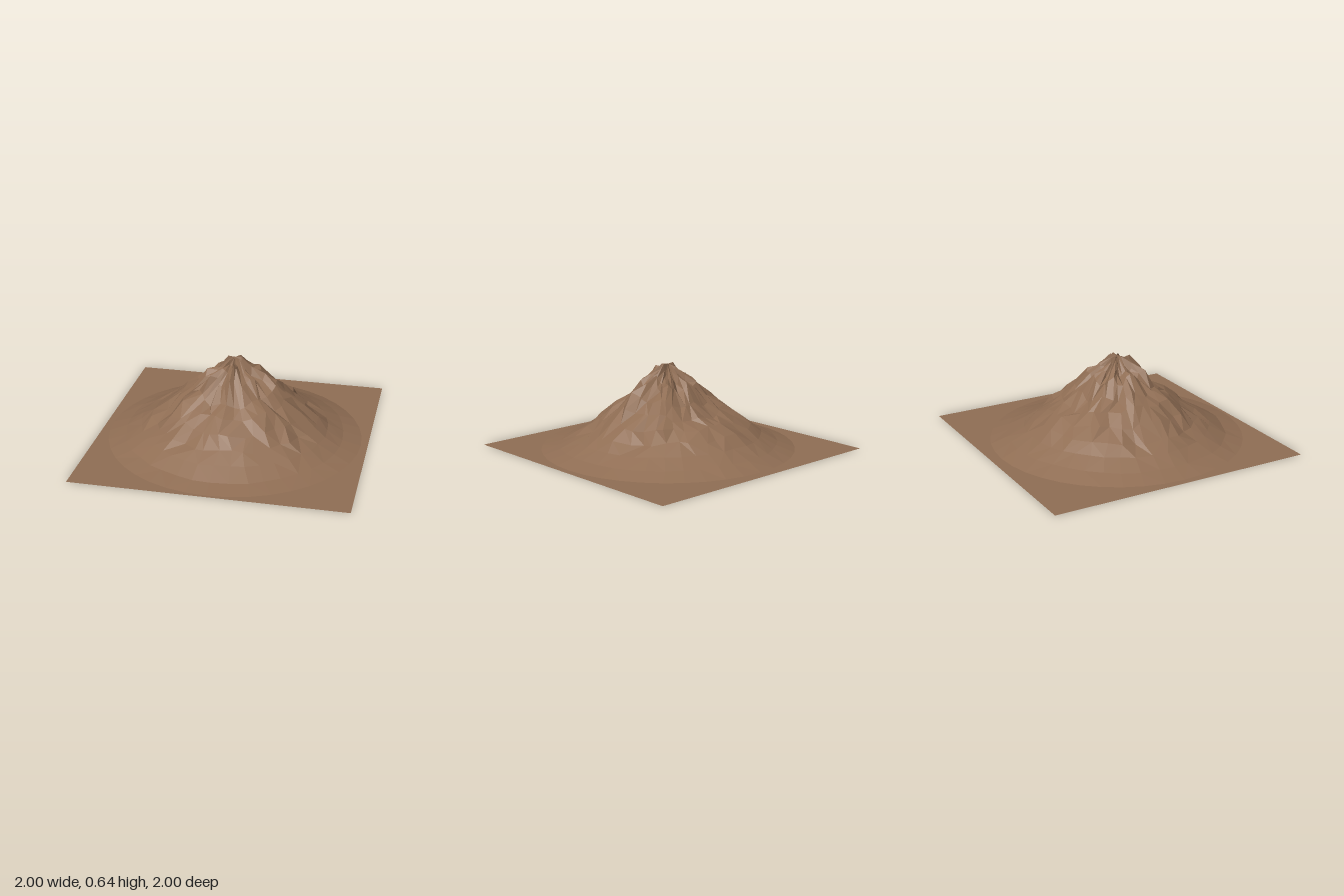
import * as THREE from 'three';

const SEGMENTS = 40;
const PEAK_Z = 0.03;
const RADII = [0.05, 0.12, 0.2, 0.3, 0.4, 0.5, 0.6, 0.7, 0.82, 0.95];
// Slope heights at those radii, towards +x, +z, -x and -z
const SLOPES = [
  [0.65, 0.57, 0.53, 0.46, 0.37, 0.26, 0.17, 0.1, 0.04, 0],
  [0.64, 0.62, 0.54, 0.39, 0.34, 0.25, 0.17, 0.1, 0.03, 0],
  [0.65, 0.56, 0.54, 0.44, 0.38, 0.28, 0.18, 0.11, 0.045, 0],
  [0.62, 0.57, 0.52, 0.4, 0.31, 0.265, 0.2, 0.12, 0.055, 0],
];

// Small seeded hash giving 0..1
function hash(i, j) {
  const s = Math.sin(i * 127.1 + j * 311.7 + 4.3) * 43758.5453;
  return s - Math.floor(s);
}

// A point of the mountainside: blended slope, cut by gullies and roughened
function slopePoint(ring, seg) {
  const j = seg % SEGMENTS;
  const last = ring === RADII.length - 1;
  const rough = last ? 0 : ring > 6 ? 0.35 : 1;
  const turn = (j / SEGMENTS) * 4;
  const k = Math.floor(turn);
  const t = turn - k;
  const base = THREE.MathUtils.lerp(SLOPES[k][ring], SLOPES[(k + 1) % 4][ring], t * t * (3 - 2 * t));
  const angle = ((j + (hash(ring, j) - 0.5) * 0.7 * rough) / SEGMENTS) * Math.PI * 2;
  const r = RADII[ring] + (hash(j, ring + 20) - 0.5) * 0.05 * rough * Math.min(1, ring / 2);
  const gully = 0.5 - 0.5 * Math.cos(8 * angle + 0.9 * Math.sin(ring * 1.3));
  const cut = (0.6 * gully + 0.4 * hash(ring + 50, j)) * 0.15 * rough;
  return [Math.cos(angle) * r, base * (1 - cut), Math.sin(angle) * r + PEAK_Z];
}

// A point on the square border of the ground
function borderPoint(seg) {
  const a = ((seg % SEGMENTS) / SEGMENTS) * Math.PI * 2;
  const c = Math.cos(a), s = Math.sin(a);
  const m = Math.max(Math.abs(c), Math.abs(s));
  return [c / m, 0, s / m];
}

// Adds a band of faceted quads between an inner and an outer loop
function addBand(out, inner, outer, ring) {
  for (let j = 0; j < SEGMENTS; j++) {
    const a = inner(j), b = inner(j + 1), c = outer(j + 1), d = outer(j);
    if (hash(j, ring + 80) > 0.5) out.push(...a, ...b, ...c, ...a, ...c, ...d);
    else out.push(...a, ...b, ...d, ...b, ...c, ...d);
  }
}

// Unshared corners give flat facets
function facetedMesh(name, positions, material) {
  const geometry = new THREE.BufferGeometry();
  geometry.setAttribute('position', new THREE.Float32BufferAttribute(positions, 3));
  geometry.computeVertexNormals();
  const mesh = new THREE.Mesh(geometry, material);
  mesh.name = name;
  return mesh;
}

export function createModel() {
  const model = new THREE.Group();
  model.name = 'mountainTerrain';
  const earth = new THREE.MeshStandardMaterial({ color: 0x906e54, side: THREE.DoubleSide });
  earth.name = 'brown earth';

  // Summit cap and rocky slopes
  const slopes = [];
  for (let j = 0; j < SEGMENTS; j++) {
    slopes.push(0, 0.63, PEAK_Z, ...slopePoint(0, j + 1), ...slopePoint(0, j));
  }
  for (let i = 0; i < RADII.length - 1; i++) {
    addBand(slopes, (j) => slopePoint(i, j), (j) => slopePoint(i + 1, j), i);
  }
  model.add(facetedMesh('mountain', slopes, earth));

  // Flat square ground around the foot, open beneath the mountain
  const ground = [];
  addBand(ground, (j) => slopePoint(RADII.length - 1, j), borderPoint, 99);
  model.add(facetedMesh('ground', ground, earth));

  return model;
}
